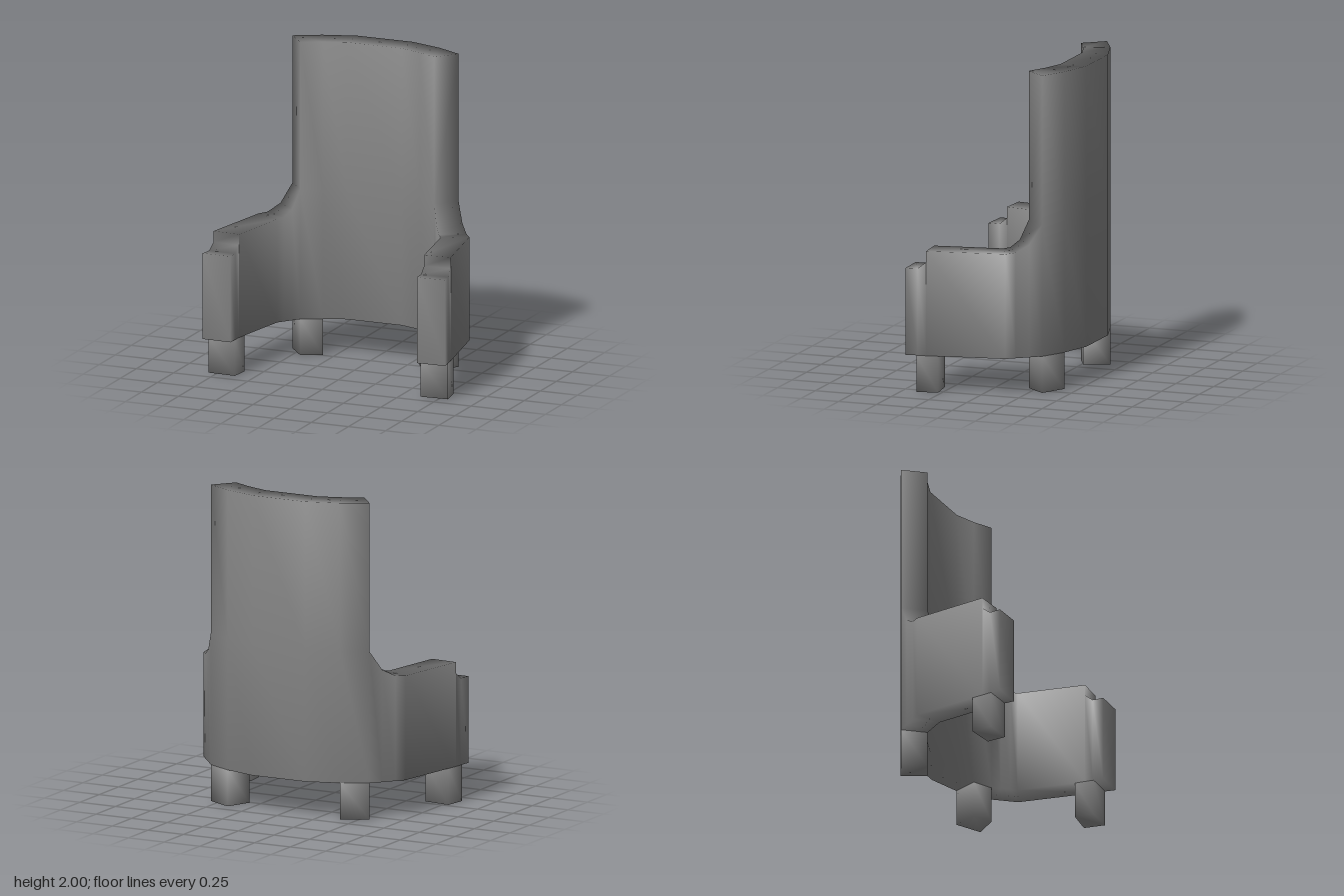
import * as THREE from 'three';
import { mergeVertices } from 'three/addons/utils/BufferGeometryUtils.js';

const SEAT_BOTTOM = 0.23;
const SHOULDER_TOP = 1.06;
const BACK_TOP = 2;
const material = new THREE.MeshStandardMaterial({ color: 0x848484 });

// Plan of the left half of the wall: [outer x, outer z, inner x, inner z]
const middle = [0.185, -0.48, 0.185, -0.31];
const bend = [0.395, -0.415, 0.325, -0.262];
const seam = [0.558, -0.33, 0.45, -0.2];
const shoulder = [0.71, -0.145, 0.55, -0.07];
const armEnd = [0.797, 0.345, 0.623, 0.357];
const padBack = [0.803, 0.4, 0.624, 0.408];
const padFront = [0.815, 0.474, 0.627, 0.48];

const mix = (a, b, t) => a.map((v, i) => v + (b[i] - v) * t);
const mirror = ([ox, oz, ix, iz, top]) => [-ox, oz, -ix, iz, top];
const withTop = (plan, top) => [...plan, top];
const mirrored = (stations) => stations.map(mirror).reverse();

// Joins closed wall sections, ordered from right (-x) to left (+x), with soft normals.
// A middle row at shoulder height lets the tall back meet the low arms cleanly.
function sweepWall(stations, bottom) {
  const positions = [];
  const rings = stations.map(([ox, oz, ix, iz, top]) => {
    const mid = Math.min(top, SHOULDER_TOP);
    return [
      ...[bottom, mid, top].map((y) => new THREE.Vector3(ox, y, oz)),
      ...[top, mid, bottom].map((y) => new THREE.Vector3(ix, y, iz)),
    ];
  });
  const triangle = (a, b, c) => {
    if (new THREE.Triangle(a, b, c).getArea() < 1e-7) return;
    for (const p of [a, b, c]) positions.push(p.x, p.y, p.z);
  };
  const quad = (a, b, c, d) => {
    triangle(a, b, c);
    triangle(a, c, d);
  };
  for (let i = 0; i < rings.length - 1; i++) {
    const r = rings[i];
    const s = rings[i + 1];
    for (let k = 0; k < 6; k++) {
      const n = (k + 1) % 6;
      quad(r[k], r[n], s[n], s[k]);
    }
  }
  // End caps
  const cap = ([a, b, c, d, e, f]) => {
    quad(a, b, e, f);
    quad(b, c, d, e);
  };
  cap([...rings[0]].reverse());
  cap(rings[rings.length - 1]);

  const geometry = new THREE.BufferGeometry();
  geometry.setAttribute('position', new THREE.Float32BufferAttribute(positions, 3));
  const welded = mergeVertices(geometry, 1e-4);
  welded.computeVertexNormals();
  return welded;
}

export function createModel() {
  const group = new THREE.Group();
  const add = (name, geometry) => {
    const mesh = new THREE.Mesh(geometry, material);
    mesh.name = name;
    group.add(mesh);
  };

  // Tall curved back running into the arms: sloping shoulder, level rest, step down to the pad
  const half = [
    withTop(middle, BACK_TOP),
    withTop(bend, BACK_TOP),
    withTop(seam, BACK_TOP),
    withTop(seam, SHOULDER_TOP),
    withTop(mix(seam, shoulder, 0.35), 0.94),
    withTop(mix(seam, shoulder, 0.72), 0.895),
    withTop(shoulder, 0.89),
    withTop(armEnd, 0.89),
    withTop(armEnd, 0.82),
    withTop(padBack, 0.778),
    withTop(padFront, 0.778),
  ];
  add('backAndArms', sweepWall([...mirrored(half), ...half], SEAT_BOTTOM));

  // Legs follow the wall's plan
  const legs = {
    BackLeg: [bend, seam],
    FrontLeg: [mix(shoulder, armEnd, 0.85), mix(padBack, padFront, 0.1)],
  };
  for (const [name, plans] of Object.entries(legs)) {
    const leg = plans.map((p) => withTop(p, SEAT_BOTTOM));
    add('left' + name, sweepWall(leg, 0));
    add('right' + name, sweepWall(mirrored(leg), 0));
  }
  return group;
}
